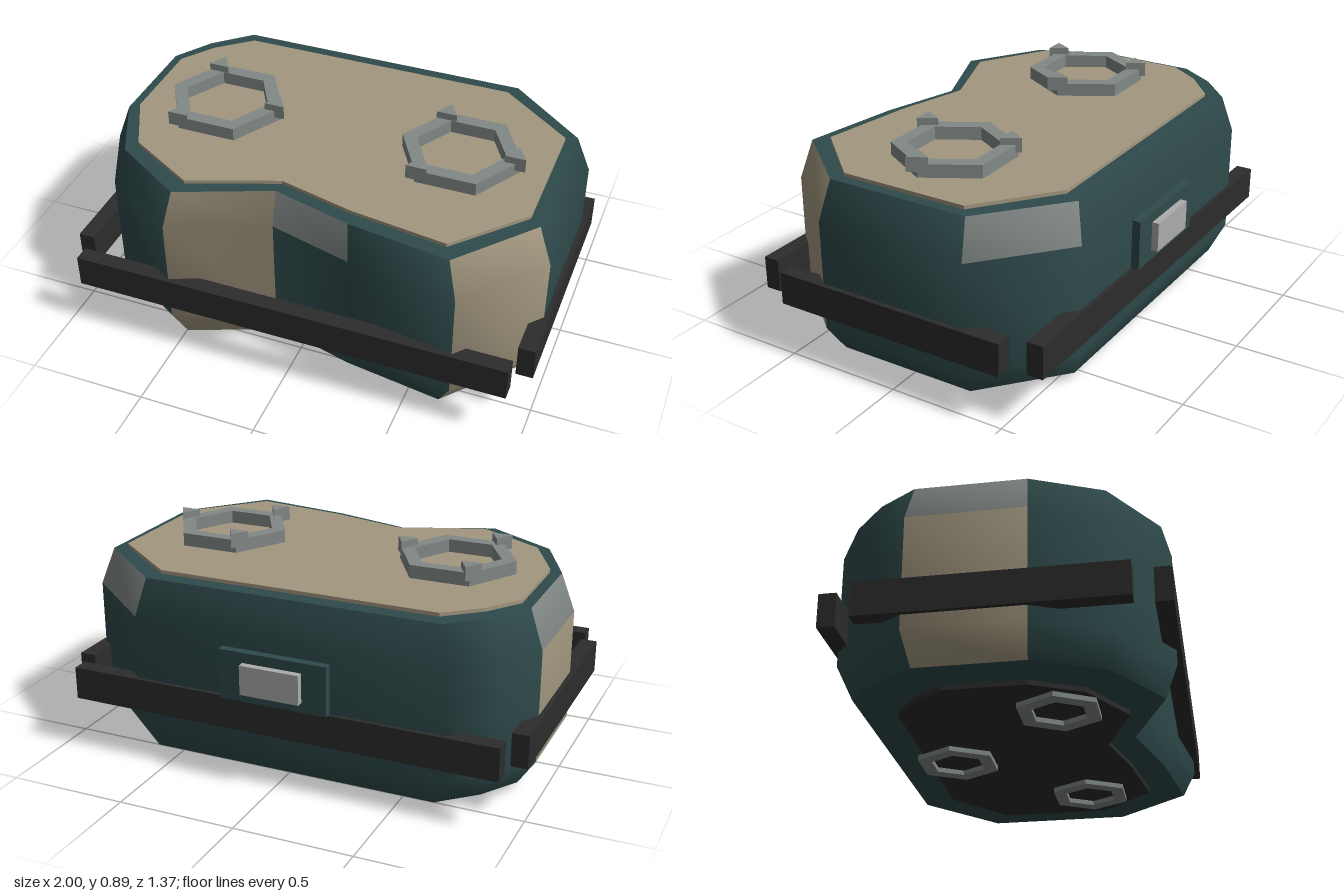
import * as THREE from 'three';

const mat = (name, color, side = THREE.FrontSide) => {
  const m = new THREE.MeshStandardMaterial({ color, side });
  m.name = name;
  return m;
};

// Body outline seen from above as [x, z], starting at the back
const OUTLINE = [
  [-0.71, -0.62], [0.63, -0.62], [0.98, -0.325], [0.98, 0.335],
  [0.7, 0.665], [0.246, 0.596], [-0.11, 0.5], [-0.515, 0.665],
  [-0.84, 0.464], [-0.98, 0.163], [-0.98, -0.305], [-0.87, -0.473],
];
const CZ = 0.0225;
const scaled = (sx, sz) => OUTLINE.map(([x, z]) => [x * sx, (z - CZ) * sz + CZ]);
const toShape = (pts, sign) =>
  new THREE.Shape(pts.map(([x, z]) => new THREE.Vector2(x, sign * z)));

// Flat plate with the body outline
function slab(pts, y, height) {
  const g = new THREE.ExtrudeGeometry(toShape(pts, -1), { depth: height, bevelEnabled: false });
  return g.rotateX(-Math.PI / 2).translate(0, y, 0);
}

// Upright six-sided ring with corners on the x axis
function hexRing(outer, inner, height) {
  const hex = (r) => Array.from({ length: 6 }, (_, i) =>
    new THREE.Vector2(r * Math.cos(i * Math.PI / 3), r * Math.sin(i * Math.PI / 3)));
  const shape = new THREE.Shape(hex(outer));
  shape.holes.push(new THREE.Path(hex(inner).reverse()));
  const g = new THREE.ExtrudeGeometry(shape, { depth: height, bevelEnabled: false });
  return g.rotateX(-Math.PI / 2);
}

// Smooth side wall through four levels; groups: 0 teal, 1 beige, 2 grey
function wallGeometry() {
  const levels = [[0.04, 0.92], [0.16, 1], [0.63, 1], [0.79, 0.94]];
  const n = OUTLINE.length;
  const pos = [];
  for (const [y, s] of levels) for (const [x, z] of scaled(s, s)) pos.push(x, y, z);
  const beige = [3, 6, 9], greyTop = [1, 5, 9];
  const faces = [[], [], []];
  for (let k = 0; k < 3; k++) {
    for (let i = 0; i < n; i++) {
      const j = (i + 1) % n;
      const a = k * n + i, b = k * n + j, c = b + n, d = a + n;
      const colour = k === 2 && greyTop.includes(i) ? 2 : beige.includes(i) ? 1 : 0;
      faces[colour].push(a, d, c, a, c, b);
    }
  }
  const g = new THREE.BufferGeometry();
  g.setAttribute('position', new THREE.Float32BufferAttribute(pos, 3));
  g.setIndex(faces.flat());
  let start = 0;
  faces.forEach((f, i) => { g.addGroup(start, f.length, i); start += f.length; });
  g.computeVertexNormals();
  return g;
}

export function createModel() {
  const teal = mat('dark teal', 0x2f4a4b);
  const beige = mat('beige', 0xa39880);
  const grey = mat('grey', 0x828987);
  const dark = mat('charcoal', 0x2c2c2c);
  const light = mat('light grey', 0xacacac);

  const model = new THREE.Group();
  const add = (name, geo, material, x = 0, y = 0, z = 0, parent = model) => {
    const m = new THREE.Mesh(geo, material);
    m.name = name;
    m.position.set(x, y, z);
    parent.add(m);
    return m;
  };
  const box = (name, material, x0, x1, y0, y1, z0, z1) =>
    add(name, new THREE.BoxGeometry(x1 - x0, y1 - y0, z1 - z0), material,
      (x0 + x1) / 2, (y0 + y1) / 2, (z0 + z1) / 2);

  // Body shell
  add('bodyWall', wallGeometry(), [teal, beige, grey]);
  add('bodyTop', new THREE.ShapeGeometry(toShape(scaled(0.94, 0.94), -1)).rotateX(-Math.PI / 2),
    teal, 0, 0.79, 0);
  add('bodyBottom', new THREE.ShapeGeometry(toShape(scaled(0.92, 0.92), 1)).rotateX(Math.PI / 2),
    teal, 0, 0.04, 0);
  add('topPlate', slab(scaled(0.893, 0.833), 0.785, 0.02), beige);
  add('bottomPlate', slab(scaled(0.75, 0.69), 0.02, 0.025), dark);

  // Bumper bars
  box('frontBumper', dark, -0.93, 0.93, 0.22, 0.36, 0.615, 0.683);
  box('backBumper', dark, -0.93, 0.93, 0.22, 0.36, -0.637, -0.567);
  for (const s of [-1, 1]) {
    const m = box('sideBumper', dark, 0.93, 1, 0.22, 0.36, -0.492, 0.54);
    m.position.x *= s;
  }

  // Latch on the back
  box('latchPlate', teal, -0.235, 0.23, 0.36, 0.57, -0.655, -0.6);
  box('latchButton', light, -0.13, 0.125, 0.402, 0.527, -0.684, -0.65);

  // Hexagonal sockets with three triangular studs each
  const socketGeo = hexRing(0.25, 0.187, 0.057);
  const studGeo = new THREE.CylinderGeometry(0.05, 0.05, 0.06, 3).toNonIndexed();
  studGeo.rotateY(Math.PI);
  studGeo.computeVertexNormals();
  for (const x of [-0.517, 0.515]) {
    const socket = new THREE.Group();
    socket.name = 'socket';
    socket.position.set(x, 0.803, CZ);
    model.add(socket);
    add('socketRing', socketGeo, grey, 0, 0, 0, socket);
    for (let i = 0; i < 3; i++) {
      const a = i * Math.PI * 2 / 3;
      add('socketStud', studGeo, grey, 0.23 * Math.cos(a), 0.057, 0.23 * Math.sin(a) + 0.01, socket);
    }
  }

  // Feet
  const footGeo = hexRing(0.177, 0.115, 0.022);
  for (const [x, z] of [[-0.485, 0.205], [-0.005, -0.295], [0.48, 0.205]])
    add('foot', footGeo, grey, x, 0, z);

  return model;
}
